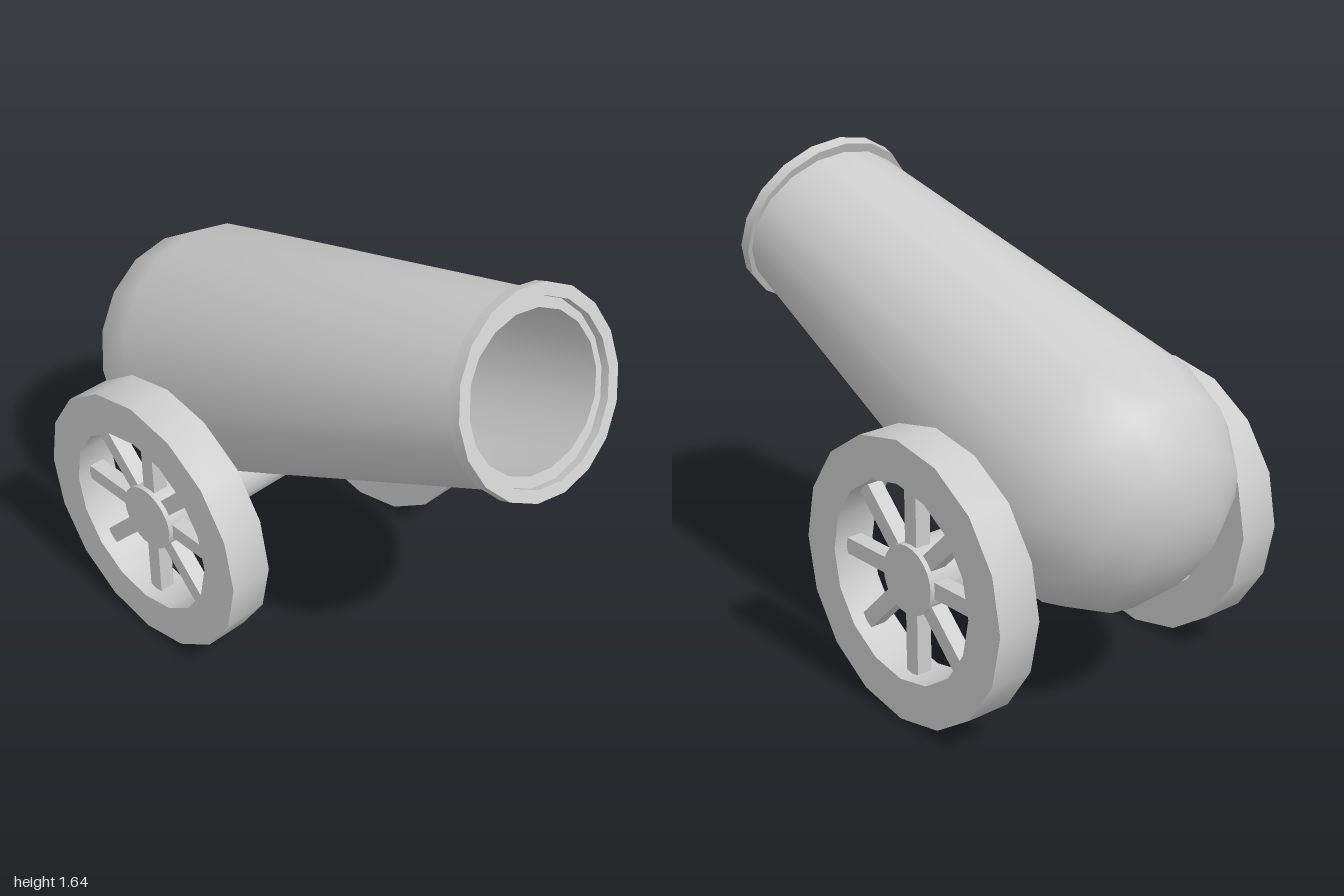
import * as THREE from 'three';
import { toCreasedNormals } from 'three/addons/utils/BufferGeometryUtils.js';

const grey = new THREE.MeshStandardMaterial({ color: 0xcccccc });

function part(name, geometry, parent) {
  const mesh = new THREE.Mesh(geometry, grey);
  mesh.name = name;
  parent.add(mesh);
  return mesh;
}

// Turned solid around y from [radius, height] points; widen(y) stretches it sideways
function turned(points, sides, widen = () => 1) {
  const profile = points.map(([r, y]) => new THREE.Vector2(r, y));
  const geometry = new THREE.LatheGeometry(profile, sides, Math.PI / 2);
  const pos = geometry.attributes.position;
  for (let i = 0; i < pos.count; i++) pos.setZ(i, pos.getZ(i) * widen(pos.getY(i)));
  return toCreasedNormals(geometry, 0.75);
}

function createBarrel() {
  const barrel = new THREE.Group();
  barrel.name = 'barrel';

  // Hollow tube: rounded breech, tapered wall, muzzle face, then the bore back down
  const tube = [
    [0, -1.972], [0.172, -1.948], [0.312, -1.867], [0.412, -1.715], [0.445, -1.53],
    [0.293, -0.03], [0.249, -0.03],
    [0.4, -1.53], [0.37, -1.69], [0.28, -1.83], [0.155, -1.9], [0, -1.925],
  ];
  const widen = (y) => 1 + 0.12 * THREE.MathUtils.clamp((y + 1.53) / 1.5, 0, 1);
  part('barrelTube', turned(tube, 18, widen), barrel);

  // Raised band around the muzzle
  const band = [[0.288, -0.043], [0.329, -0.043], [0.329, 0], [0.288, 0], [0.288, -0.043]];
  part('muzzleBand', turned(band, 18, () => 1.05), barrel);

  barrel.position.set(0.88, 1.335, -0.012);
  barrel.rotation.z = THREE.MathUtils.degToRad(21.2 - 90);
  return barrel;
}

function createWheel(name) {
  const wheel = new THREE.Group();
  wheel.name = name;
  const inner = 0.337, outer = 0.482, half = 0.078;

  const rim = [[inner, -half], [outer, -half], [outer, half], [inner, half], [inner, -half]];
  part('rim', turned(rim, 16).rotateX(Math.PI / 2), wheel);

  // Eight spokes from the hub to the rim
  for (let i = 0; i < 8; i++) {
    const spoke = new THREE.BoxGeometry(0.056, 0.26, 0.056).translate(0, 0.21, 0);
    part('spoke', spoke, wheel).rotation.z = (i * Math.PI) / 4;
  }
  return wheel;
}

export function createModel() {
  const model = new THREE.Group();
  model.name = 'cannon';
  model.add(createBarrel());

  // Axle through both wheels, its ends forming the hubs
  const carriage = new THREE.Group();
  carriage.name = 'carriage';
  carriage.position.set(-0.305, 0.482, 0);
  part('axle', new THREE.CylinderGeometry(0.118, 0.118, 1.16, 24).rotateX(Math.PI / 2), carriage);
  for (const side of [1, -1]) {
    const wheel = createWheel(side > 0 ? 'frontWheel' : 'backWheel');
    wheel.position.z = side * 0.535;
    carriage.add(wheel);
  }
  model.add(carriage);
  return model;
}
